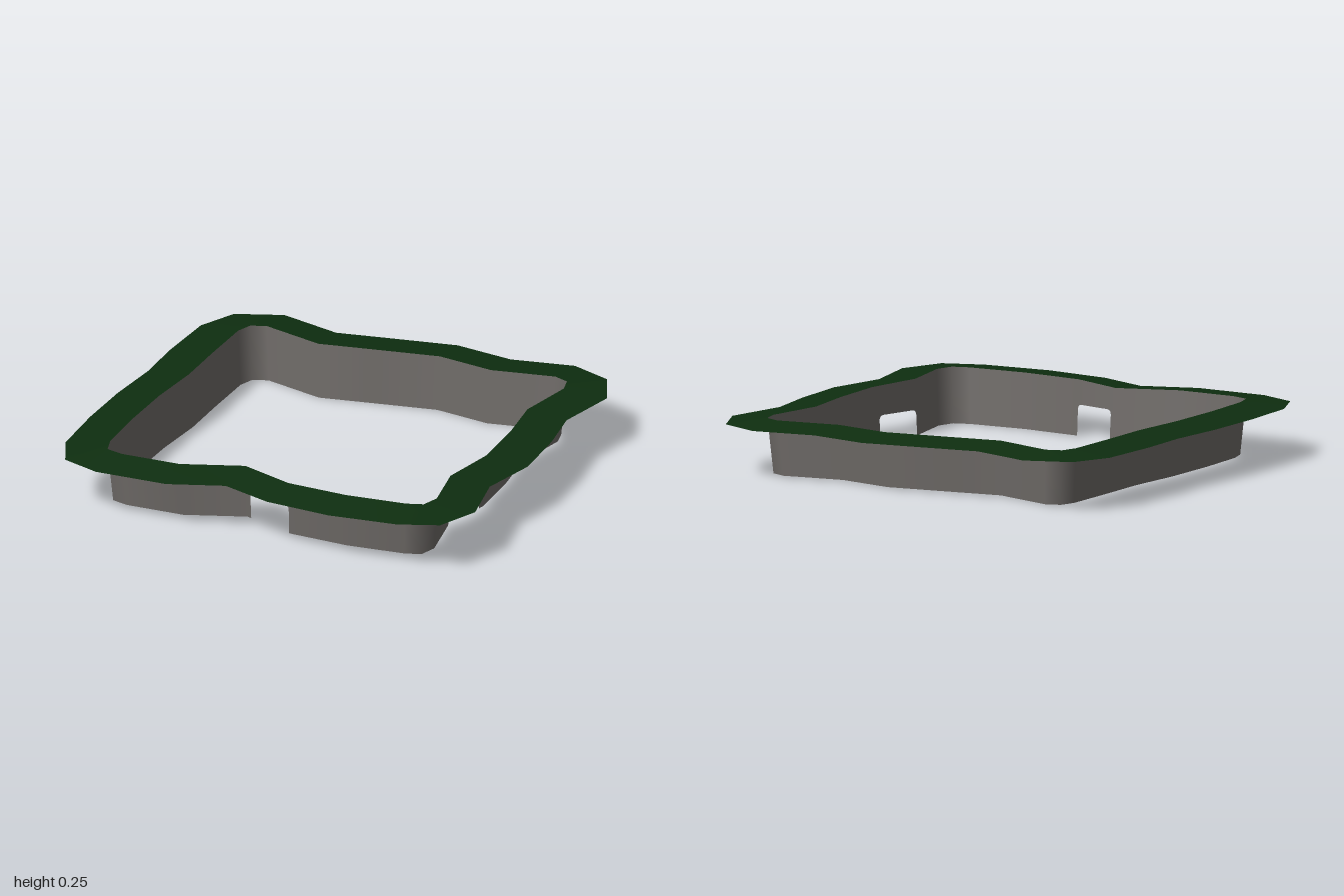
import * as THREE from 'three';

const TOP = 0.25, RIM = 0.23, TAPER = 0.975;

// Wall line at the top edge, as x, z pairs running from back left round to the right
const INNER = [
  [-0.69, -0.81], [-0.4, -0.72], [-0.16, -0.76], [0.15, -0.81], [0.42, -0.76], [0.71, -0.81], [0.78, -0.78],
  [0.8, -0.7], [0.75, -0.42], [0.785, -0.16], [0.8, 0.13], [0.75, 0.41], [0.8, 0.67], [0.775, 0.755],
  [0.7, 0.78], [0.42, 0.8], [0.13, 0.78], [-0.125, 0.68], [-0.4, 0.78], [-0.68, 0.78], [-0.76, 0.755],
  [-0.785, 0.67], [-0.8, 0.41], [-0.8, 0.11], [-0.78, -0.17], [-0.785, -0.43], [-0.785, -0.71], [-0.76, -0.785],
];
// Outer edge of the brim, matching the wall line point for point
const OUTER = [
  [-0.69, -1], [-0.4, -0.91], [-0.16, -0.95], [0.15, -1], [0.43, -0.95], [0.72, -1], [0.91, -0.92],
  [1, -0.72], [0.94, -0.42], [0.98, -0.17], [1, 0.13], [0.94, 0.41], [1, 0.7], [0.92, 0.9],
  [0.74, 0.97], [0.42, 1], [0.11, 0.97], [-0.13, 0.88], [-0.38, 0.97], [-0.72, 0.97], [-0.9, 0.9],
  [-0.98, 0.72], [-1, 0.41], [-1, 0.11], [-0.98, -0.17], [-0.99, -0.43], [-0.98, -0.74], [-0.9, -0.92],
];
const N = INNER.length;

// Doorways by wall segment: start, end, height at start and end
const DOORS = { 10: [0.12, 0.985, 0.118, 0.113], 16: [0.01, 0.91, 0.14, 0.148] };

// Smooth inward normal at each wall point
const edgeNormal = (i) => {
  const a = INNER[(i + N) % N], b = INNER[(i + 1) % N];
  return new THREE.Vector3(a[1] - b[1], 0, b[0] - a[0]).normalize();
};
const normals = INNER.map((_, i) => {
  const n = edgeNormal(i - 1).add(edgeNormal(i)).normalize();
  n.y = 0.08;
  return n.normalize();
});

// One wall panel: a flat outline, with a rounded doorway if needed, laid on the tapered wall
function wallPanel(i) {
  const s = new THREE.Shape();
  s.moveTo(0, 0);
  const door = DOORS[i];
  if (door) {
    const [a, b, ha, hb] = door, ru = 0.1, rv = 0.025;
    s.lineTo(a, 0);
    s.lineTo(a, ha - rv);
    s.quadraticCurveTo(a, ha, a + ru, ha);
    s.lineTo(b - ru, hb);
    s.quadraticCurveTo(b, hb, b, hb - rv);
    s.lineTo(b, 0);
  }
  s.lineTo(1, 0);
  s.lineTo(1, TOP);
  s.lineTo(0, TOP);
  s.closePath();

  const geo = new THREE.ShapeGeometry(s, 6);
  const pos = geo.attributes.position, nor = geo.attributes.normal;
  const j = (i + 1) % N, n = new THREE.Vector3();
  for (let k = 0; k < pos.count; k++) {
    const u = pos.getX(k), v = pos.getY(k);
    const scale = THREE.MathUtils.lerp(TAPER, 1, v / TOP);
    pos.setXYZ(k,
      THREE.MathUtils.lerp(INNER[i][0], INNER[j][0], u) * scale, v,
      THREE.MathUtils.lerp(INNER[i][1], INNER[j][1], u) * scale);
    n.lerpVectors(normals[i], normals[j], u).normalize();
    nor.setXYZ(k, n.x, n.y, n.z);
  }
  return geo;
}

// Gently sloping band between the wall top and the brim edge
function brimGeometry() {
  const verts = [], index = [];
  for (let i = 0; i < N; i++) {
    verts.push(INNER[i][0], TOP, INNER[i][1], OUTER[i][0], RIM, OUTER[i][1]);
    const a = 2 * i, b = 2 * ((i + 1) % N);
    index.push(a, b, a + 1, b, b + 1, a + 1);
  }
  const geo = new THREE.BufferGeometry();
  geo.setAttribute('position', new THREE.Float32BufferAttribute(verts, 3));
  geo.setIndex(index);
  geo.computeVertexNormals();
  // Make sure the band faces up
  if (geo.attributes.normal.getY(0) < 0) {
    geo.setIndex(index.reverse());
    geo.computeVertexNormals();
  }
  return geo;
}

export function createModel() {
  const stone = new THREE.MeshStandardMaterial({ color: 0x6e6a67, side: THREE.DoubleSide });
  stone.name = 'grey stone';
  const grass = new THREE.MeshStandardMaterial({ color: 0x0e2e10, side: THREE.DoubleSide });
  grass.name = 'dark green';

  const model = new THREE.Group();
  model.name = 'walledPit';

  const walls = new THREE.Group();
  walls.name = 'walls';
  for (let i = 0; i < N; i++) {
    const panel = new THREE.Mesh(wallPanel(i), stone);
    panel.name = DOORS[i] ? 'doorwayPanel' : 'wallPanel';
    walls.add(panel);
  }

  const brim = new THREE.Mesh(brimGeometry(), grass);
  brim.name = 'grassBrim';
  model.add(walls, brim);
  return model;
}
